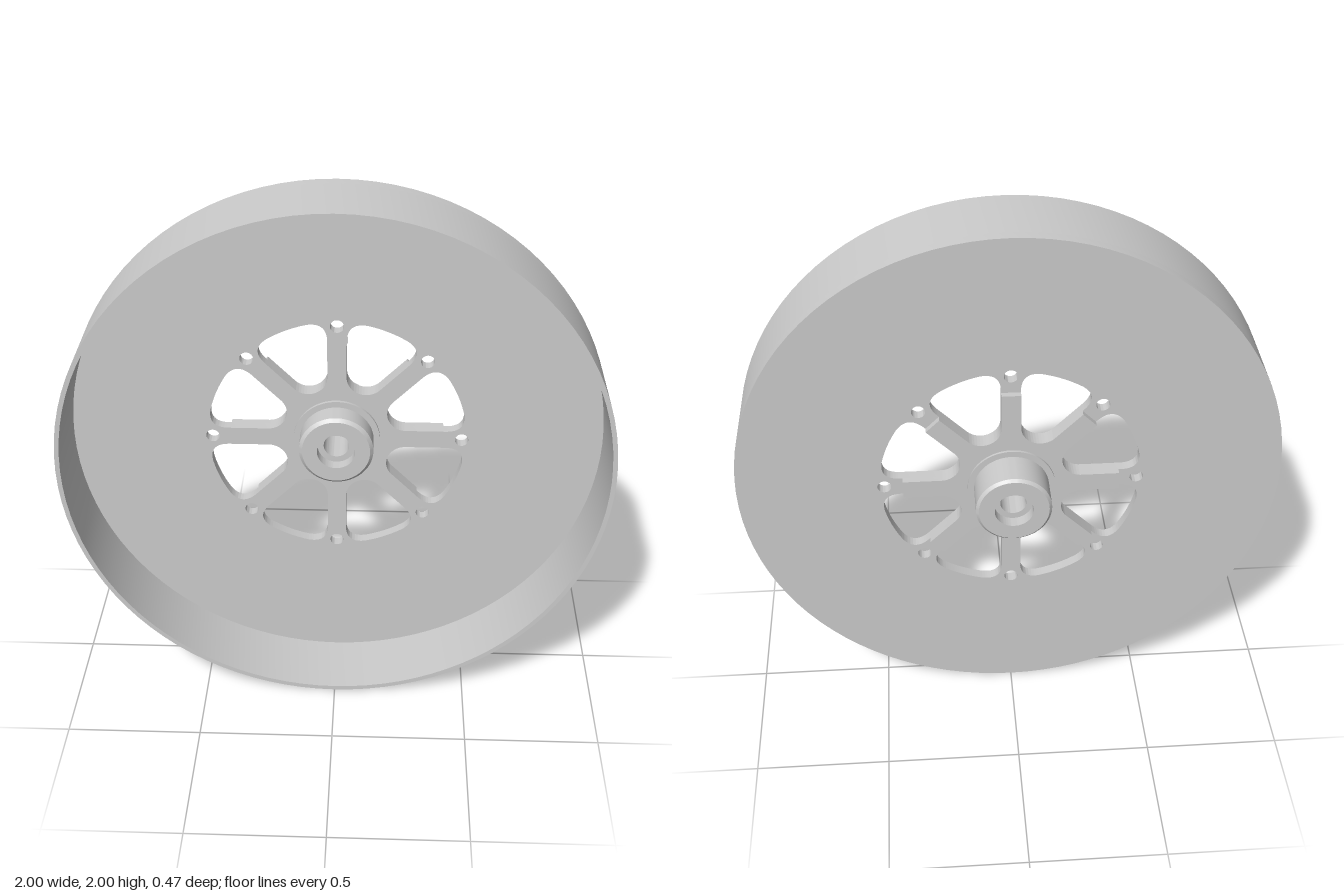
import * as THREE from 'three';
import { toCreasedNormals } from 'three/addons/utils/BufferGeometryUtils.js';

const COUNT = 8;            // spokes
const STEP = Math.PI * 2 / COUNT;
const HALF = 0.035;         // half width of a spoke
const BACK = -0.065, FLOOR = -0.025, FRONT = 0.24;

// Round between two spokes, touching both of their edges
const ROOT_DIST = 0.277;
const ROOT_RADIUS = ROOT_DIST * Math.sin(STEP / 2) - HALF;
const ROOT_START = ROOT_DIST * Math.cos(STEP / 2);

const material = new THREE.MeshStandardMaterial({ color: 0xcccccc });

// Point at distance s along a spoke at the given angle, offset sideways by t
function along(angle, s, t) {
  const c = Math.cos(angle), n = Math.sin(angle);
  return [s * c - t * n, s * n + t * c];
}

function addRoot(path, a) {
  const [x, y] = along(a + STEP / 2, ROOT_DIST, 0);
  path.lineTo(...along(a, ROOT_START, HALF));
  path.absarc(x, y, ROOT_RADIUS, a + Math.PI * 1.5, a + Math.PI * 0.75, true);
}

function pocket(a) {
  const b = a + STEP, R = 0.48, turn = 0.23;
  const path = new THREE.Path();
  path.moveTo(...along(a, 0.4, HALF));
  addRoot(path, a);
  path.lineTo(...along(b, 0.4, -HALF));
  path.quadraticCurveTo(...along(b, R, -HALF), ...along(b - turn, R, 0));
  path.absarc(0, 0, R, b - turn, a + turn, true);
  path.quadraticCurveTo(...along(a, R, HALF), ...along(a, 0.4, HALF));
  return path;
}

function circle(r, x = 0, y = 0) {
  return new THREE.Path().absarc(x, y, r, 0, Math.PI * 2, false);
}

function mesh(name, geometry) {
  const m = new THREE.Mesh(toCreasedNormals(geometry, 0.5), material);
  m.name = name;
  return m;
}

function plate(name, shape, z0, z1, curveSegments) {
  const g = new THREE.ExtrudeGeometry(shape, { depth: z1 - z0, bevelEnabled: false, curveSegments });
  g.translate(0, 0, z0);
  return mesh(name, g);
}

// Turned part about z from [radius, z] pairs
function turned(name, profile) {
  const g = new THREE.LatheGeometry(profile.map(p => new THREE.Vector2(...p)), 96);
  g.rotateX(Math.PI / 2);
  return mesh(name, g);
}

export function createModel() {
  const wheel = new THREE.Group();
  wheel.name = 'wheel';

  // Disc with pockets between the spokes and a small hole at each spoke end
  const disc = new THREE.Shape();
  disc.absarc(0, 0, 1, 0, Math.PI * 2, false);
  disc.holes.push(circle(0.1));
  for (let i = 0; i < COUNT; i++) {
    const a = i * STEP;
    disc.holes.push(pocket(a), circle(0.025, ...along(a, 0.463, 0)));
  }
  wheel.add(plate('disc', disc, BACK, FLOOR, 48));

  // Thin rim wall standing forward from the disc
  wheel.add(turned('rim', [[1, FLOOR], [1, FRONT], [0.983, FRONT], [0.983, FLOOR]]));

  // Raised ribs on the back of the spokes
  const ribs = new THREE.Shape();
  ribs.moveTo(...along(0, 0.395, -HALF));
  for (let i = 0; i < COUNT; i++) {
    const a = i * STEP;
    ribs.lineTo(...along(a, 0.395, HALF));
    addRoot(ribs, a);
    ribs.lineTo(...along(a + STEP, 0.395, -HALF));
  }
  ribs.holes.push(circle(0.1));
  wheel.add(plate('ribs', ribs, -0.088, BACK, 24));

  // Hub with flanges, chamfered ends and a counterbored shaft hole
  wheel.add(turned('hub', [
    [0.07, -0.235], [0.127, -0.235], [0.137, -0.225], [0.137, -0.097],
    [0.16, -0.097], [0.16, -0.014], [0.137, -0.014], [0.137, 0.063],
    [0.125, 0.075], [0.07, 0.075], [0.07, 0.03], [0.047, 0.03],
    [0.047, -0.19], [0.07, -0.19], [0.07, -0.235],
  ]));

  wheel.position.y = 1;
  const model = new THREE.Group();
  model.name = 'spokedWheel';
  model.add(wheel);
  return model;
}
